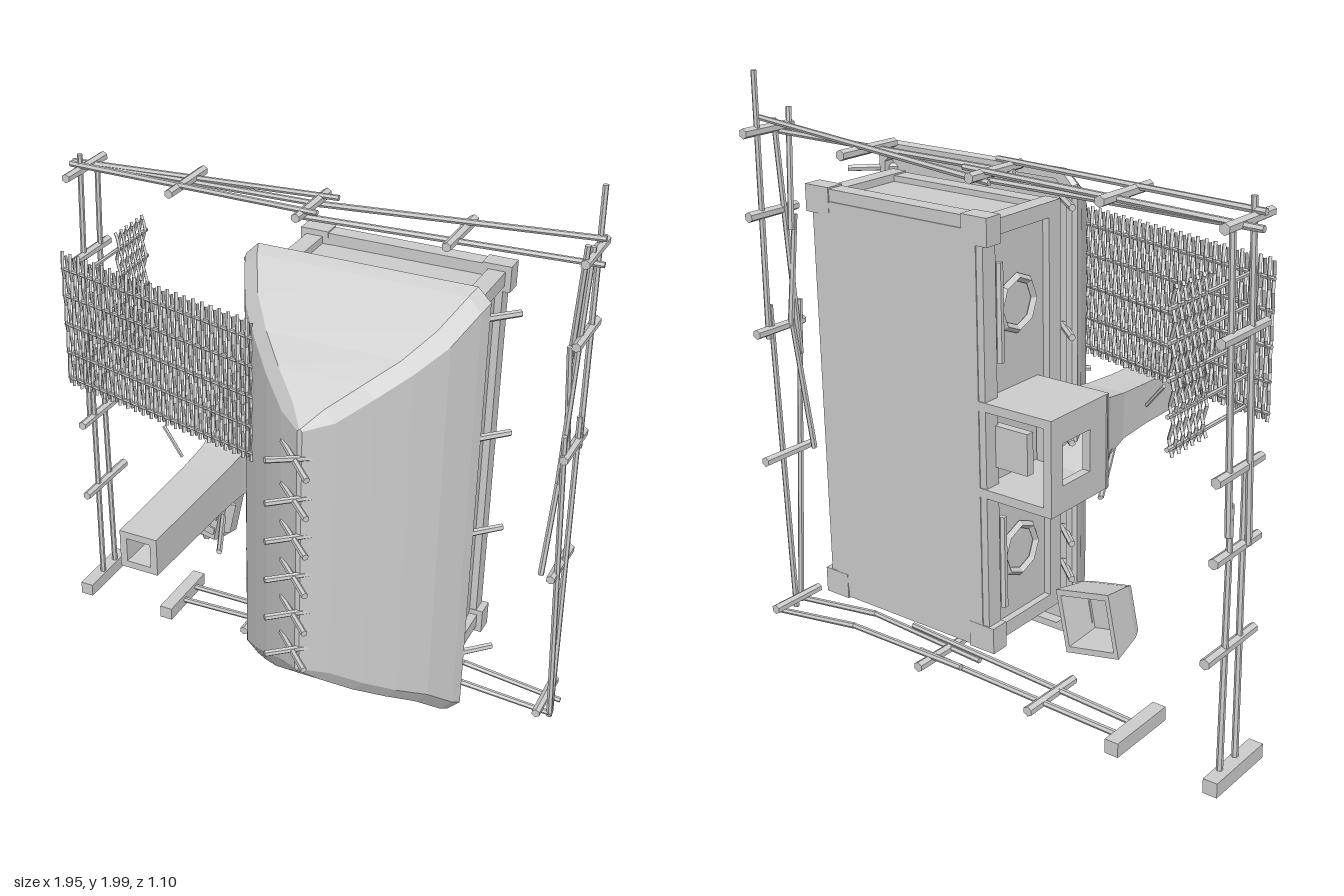
import * as THREE from 'three';

const grey = new THREE.MeshStandardMaterial({ color: 0xcccccc });
grey.name = 'plain grey';
grey.flatShading = true;

// rectangular cross-section at height z, optionally with chamfered corners
function ring(cx, cy, hx, hy, z, c = 0) {
  const p = c
    ? [[hx, -hy + c], [hx, hy - c], [hx - c, hy], [-hx + c, hy], [-hx, hy - c], [-hx, -hy + c], [-hx + c, -hy], [hx - c, -hy]]
    : [[hx, -hy], [hx, hy], [-hx, hy], [-hx, -hy]];
  return p.map(([x, y]) => [cx + x, cy + y, z]);
}

// skin a list of rings, closing both ends
function loft(rings) {
  const n = rings[0].length, idx = [];
  rings.slice(1).forEach((_, r) => {
    for (let i = 0; i < n; i++) {
      const a = r * n + i, b = r * n + (i + 1) % n;
      idx.push(a, b, b + n, a, b + n, a + n);
    }
  });
  const last = (rings.length - 1) * n;
  for (let i = 1; i < n - 1; i++) idx.push(0, i + 1, i, last, last + i, last + i + 1);
  const g = new THREE.BufferGeometry();
  g.setAttribute('position', new THREE.Float32BufferAttribute(rings.flat(2), 3));
  g.setIndex(idx);
  const flat = g.toNonIndexed();
  flat.computeVertexNormals();
  return flat;
}

export function createModel() {
  const model = new THREE.Group();
  model.name = 'cottageWithYard';
  let target = model;
  const section = (name) => {
    target = new THREE.Group();
    target.name = name;
    model.add(target);
    return target;
  };
  const add = (name, geo) => {
    const m = new THREE.Mesh(geo, grey);
    m.name = name;
    target.add(m);
    return m;
  };
  // box given by its two extreme corners
  const box = (name, x0, x1, y0, y1, z0, z1) => {
    const m = add(name, new THREE.BoxGeometry(x1 - x0, y1 - y0, z1 - z0));
    m.position.set((x0 + x1) / 2, (y0 + y1) / 2, (z0 + z1) / 2);
    return m;
  };
  const stick = (name, a, b, r = 0.009, sides = 6) => {
    const p = new THREE.Vector3(...a), q = new THREE.Vector3(...b), d = q.clone().sub(p);
    const m = add(name, new THREE.CylinderGeometry(r * 0.9, r, d.length(), sides));
    m.position.copy(p).add(q).multiplyScalar(0.5);
    m.quaternion.setFromUnitVectors(new THREE.Vector3(0, 1, 0), d.normalize());
    return m;
  };

  // walls, timber frame and log ends
  section('house');
  box('walls', -0.05, 0.6, 0.27, 1.63, -0.52, -0.1);
  for (const [z, out] of [[-0.487, 0.02], [-0.16, 0]]) {
    for (const y of [0.275 - out, 1.625 + out]) box('endBeam', -0.07 - out, 0.625 + out, y - 0.025, y + 0.025, z - 0.03, z + 0.03);
    for (const x of [-0.05, 0.6]) box('sideBeam', x - 0.025, x + 0.025, 0.245 - out, 1.655 + out, z - 0.03, z + 0.03);
  }
  for (const x of [-0.045, 0.6]) for (const y of [0.27, 1.63]) {
    box('cornerPost', x - 0.03, x + 0.03, y - 0.025, y + 0.025, -0.519, -0.13);
    box('logEnd', x - 0.05, x + 0.05, y - 0.045, y + 0.045, -0.521, -0.455);
  }
  for (const y of [0.52, 1.36]) {
    const w = add('roundWindow', new THREE.TorusGeometry(0.085, 0.014, 4, 8));
    w.rotation.y = Math.PI / 2;
    w.position.set(-0.055, y, -0.33);
    stick('wallPole', [-0.075, y - 0.16, -0.44], [-0.075, y + 0.16, -0.44], 0.014);
  }
  // door at the low end
  box('door', 0.2, 0.36, 0.262, 0.268, -0.46, -0.2);
  for (const s of [-1, 1]) {
    box('doorJamb', 0.275 + s * 0.085, 0.285 + s * 0.085, 0.25, 0.27, -0.46, -0.19);
    box('doorPaneBar', 0.27 + s * 0.04, 0.285 + s * 0.04, 0.252, 0.27, -0.36, -0.27);
    box('doorPaneRail', 0.23, 0.325, 0.252, 0.27, -0.32 + s * 0.045, -0.305 + s * 0.045);
  }

  // hipped roof with chamfered hips and a recessed underside
  section('roof');
  const profile = [ // z, half width, low end, high end, chamfer
    [-0.13, 0.405, 0.13, 1.74, 0.04], [-0.115, 0.415, 0.12, 1.75, 0.045], [-0.075, 0.4, 0.145, 1.73, 0.045],
    [0.03, 0.345, 0.235, 1.65, 0.045], [0.12, 0.265, 0.295, 1.575, 0.04],
    [0.21, 0.18, 0.36, 1.515, 0.04], [0.29, 0.09, 0.43, 1.45, 0.038], [0.35, 0.008, 0.49, 1.4, 0.007]];
  const outer = profile.map(([z, h, lo, hi, c]) => ring(0.285, (lo + hi) / 2, h, (hi - lo) / 2, z, c));
  const under = [-0.09, -0.13].map((z) => ring(0.285, 0.935, 0.38, 0.78, z, 0.04));
  add('thatch', loft([...under, ...outer]));
  // crossed ridge sticks
  [1.3, 1.155, 1.015, 0.87, 0.725, 0.58].forEach((y, i) => {
    const t = i === 0 ? 0.012 : 0.003;
    stick('ridgeStick', [0.205, y + t, 0.425], [0.35, y - t, 0.29], 0.011);
    stick('ridgeStick', [0.35, y - t - 0.004, 0.435], [0.2, y + t - 0.004, 0.29], 0.011);
  });
  // rafter tails
  for (const y of [1.65, 1.23, 0.87, 0.38]) stick('rafterTail', [0.64, y, -0.07], [0.77, y, -0.2], 0.013);
  for (const y of [1.65, 1.23, 0.87, 0.51, 0.38]) stick('rafterTail', [-0.06, y, -0.1], [-0.165, y, -0.19], 0.013);

  // hearth with a side opening, flared flue and hollow top
  section('chimney');
  for (const y of [0.77, 1.06]) box('hearthCheek', -0.33, -0.05, y, y + 0.03, -0.52, -0.22);
  box('hearthFrontLow', -0.33, -0.3, 0.8, 0.86, -0.52, -0.22);
  box('hearthFrontHigh', -0.33, -0.3, 1.0, 1.06, -0.52, -0.22);
  box('hearthSill', -0.33, -0.3, 0.86, 1.0, -0.52, -0.46);
  box('hearthLintel', -0.33, -0.3, 0.86, 1.0, -0.32, -0.22);
  box('hearthFloor', -0.2, -0.06, 0.86, 1.0, -0.47, -0.44);
  const flue = [[-0.235, 0.14, 0.16, -0.195], [-0.215, 0.13, 0.15, -0.195], [-0.19, 0.105, 0.125, -0.185],
    [-0.12, 0.087, 0.1, -0.178], [-0.02, 0.074, 0.08, -0.175], [0.12, 0.07, 0.072, -0.175], [0.55, 0.066, 0.066, -0.175]];
  add('flue', loft([
    ring(-0.18, 0.935, 0.06, 0.06, -0.03), ring(-0.195, 0.93, 0.11, 0.13, -0.235),
    ...flue.map(([z, hx, hy, cx]) => ring(cx, 0.93 + (z + 0.235) * 0.008, hx, hy, z)),
    ring(-0.175, 0.936, 0.042, 0.042, 0.55), ring(-0.175, 0.936, 0.028, 0.028, 0.3)]));
  stick('poleByChimney', [-0.39, 1.06, 0.0], [-0.31, 0.97, 0.02], 0.007);
  const plank = stick('leaningPole', [-0.23, 0.67, -0.12], [-0.06, 0.78, 0.23], 0.011);
  plank.scale.z = 0.7;

  // small tapered oven, turned slightly
  const oven = section('oven');
  add('ovenBody', loft([
    ring(0, 0, 0.07, 0.07, -0.03), ring(0, 0, 0.085, 0.085, -0.15), ring(0, 0, 0.1, 0.105, -0.15),
    ring(0, 0, 0.085, 0.085, -0.03), ring(0, 0, 0.075, 0.075, 0), ring(0, 0, 0.05, 0.05, 0), ring(0, 0, 0.045, 0.045, -0.02)]));
  for (const s of [-1, 1]) box('ovenTopBar', -0.07, 0.07, s * 0.035 - 0.015, s * 0.035 + 0.015, -0.005, 0.006);
  box('ovenFlap', 0.07, 0.115, -0.05, 0.085, -0.05, -0.035).rotation.y = 0.5;
  box('ovenLedge', -0.03, 0.03, -0.13, -0.08, -0.08, -0.06);
  stick('ovenPeg', [0.02, -0.1, -0.06], [0.02, -0.13, -0.06], 0.016);
  oven.position.set(-0.465, 0.455, -0.37);
  oven.rotation.z = -0.2;

  // woven hurdles: straight stakes with withies waving over and under
  const withy = (at, phase) => {
    const pts = [];
    for (let i = 0; i <= 10; i++) pts.push(at(i / 10, (i + phase) % 2 ? 1 : -1));
    add('withy', new THREE.TubeGeometry(new THREE.CatmullRomCurve3(pts), 20, 0.0065, 4));
  };
  section('leanToHurdle');
  const stakes = [1.1, 1.2, 1.31, 1.42, 1.52];
  const slope = (x) => 0.09 + x * 0.229;
  for (const y of stakes) stick('stake', [-0.83, y, slope(-0.83)], [0.01, y, slope(0.01)], 0.007);
  for (let k = 0; k < 46; k++) {
    const x = -0.825 + k * 0.0181;
    withy((t, s) => new THREE.Vector3(x + s * 0.004, 1.075 + t * 0.505, slope(x) + s * 0.009), k);
  }
  section('sideHurdle');
  for (const y of stakes) stick('stake', [-0.74, y, -0.52], [-0.74, y, -0.09], 0.008);
  for (let k = 0; k < 11; k++) {
    const z = -0.5 + k * 0.018;
    withy((t, s) => new THREE.Vector3(-0.74 + s * 0.009, 1.075 + t * 0.505, z + s * 0.004), k);
  }

  // yard fence: posts rising along z, rails tied between them
  section('fence');
  const post = (x, y, top = -0.27, foot = -0.52) => stick('fencePost', [x, y, foot], [x, y, top], 0.018);
  post(-0.905, 0.48, -0.27, -0.55);
  for (const y of [0.79, 1.04, 1.45, 1.77]) post(-0.905, y);
  for (const x of [-0.5, -0.03, 0.49]) post(x, 1.785);
  for (const y of [0.06, 0.64, 1.11, 1.52, 1.8]) post(0.925, y, -0.3);
  for (const x of [-0.23, 0.24]) post(x, 0.06);
  for (const x of [-0.92, -0.56]) box('gatePost', x - 0.025, x + 0.025, 0.025, 0.075, -0.52, -0.25);
  const rails = [
    [[-0.91, 0.05, -0.36], [-0.9, 1.04, -0.35]], [[-0.91, 0.05, -0.45], [-0.91, 0.95, -0.44]],
    [[-0.92, 0.79, -0.35], [-0.9, 1.83, -0.36]], [[-0.91, 0.85, -0.45], [-0.895, 1.75, -0.46]],
    [[-0.98, 1.765, -0.44], [0.04, 1.8, -0.46]], [[-0.94, 1.79, -0.36], [0.03, 1.8, -0.31]],
    [[-0.98, 1.765, -0.44], [-0.05, 1.77, -0.45]],
    [[-0.06, 1.765, -0.46], [0.95, 1.84, -0.43]], [[-0.05, 1.77, -0.33], [0.97, 1.785, -0.36]],
    [[0.96, 0.02, -0.36], [0.915, 1.19, -0.32]], [[0.955, 0.01, -0.39], [0.925, 1.2, -0.45]],
    [[0.885, 0.64, -0.32], [0.905, 1.11, -0.37]], [[0.905, 1.0, -0.34], [0.925, 1.83, -0.38]],
    [[0.915, 1.1, -0.37], [0.895, 1.5, -0.34]], [[0.895, 1.45, -0.36], [0.925, 1.86, -0.31]],
    [[0.93, 1.08, -0.46], [0.92, 2.0, -0.46]],
    [[-0.56, 0.05, -0.36], [0.41, 0.09, -0.35]], [[-0.56, 0.055, -0.45], [0.3, 0.07, -0.44]],
    [[0.1, 0.06, -0.36], [0.6, 0.07, -0.34]], [[0.6, 0.07, -0.34], [0.97, 0.03, -0.36]],
    [[0.1, 0.08, -0.46], [0.6, 0.07, -0.45]], [[0.6, 0.07, -0.45], [0.97, 0.02, -0.46]]];
  for (const [a, b] of rails) stick('rail', a, b, 0.011);

  return model;
}
